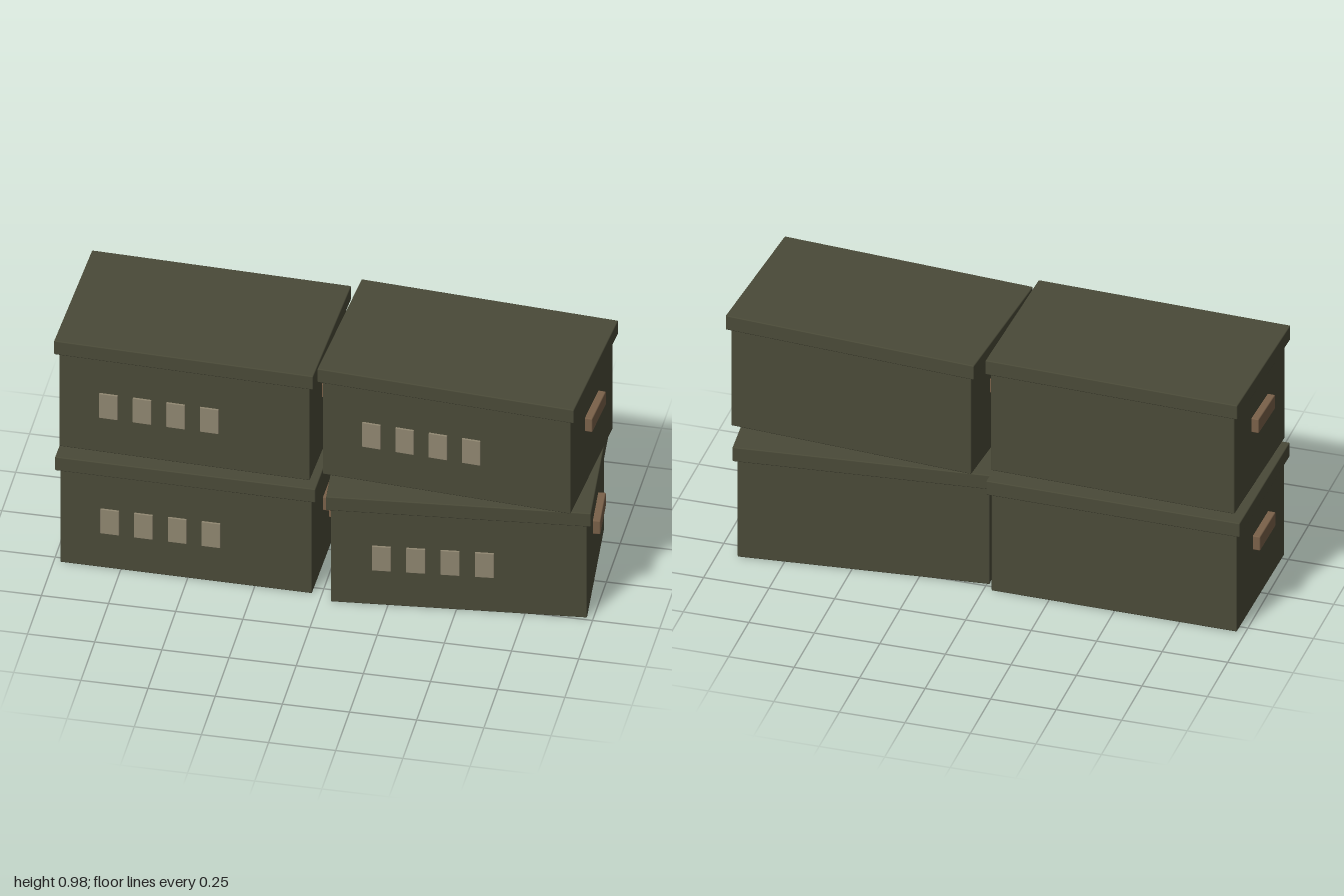
import * as THREE from 'three';
import { RoundedBoxGeometry } from 'three/addons/geometries/RoundedBoxGeometry.js';

const olive = new THREE.MeshStandardMaterial({ color: 0x4a4a38 });
olive.name = 'olive';
const wood = new THREE.MeshStandardMaterial({ color: 0x7a6149 });
wood.name = 'wood';
const paper = new THREE.MeshStandardMaterial({ color: 0x8f8670 });
paper.name = 'paper';

// Outer sizes shared by every crate
const BODY_W = 0.94, BODY_D = 0.566, BODY_H = 0.415;
const LID_W = 0.972, LID_D = 0.596, LID_H = 0.06;

function addBlock(parent, name, material, size, position, radius = 0.004) {
  const mesh = new THREE.Mesh(new RoundedBoxGeometry(...size, 1, radius), material);
  mesh.name = name;
  mesh.position.set(...position);
  parent.add(mesh);
}

function createCrate(name, x, y, turn) {
  const crate = new THREE.Group();
  crate.name = name;

  addBlock(crate, 'body', olive, [BODY_W, BODY_H, BODY_D], [0, BODY_H / 2, 0]);
  addBlock(crate, 'lid', olive, [LID_W, LID_H, LID_D], [0, BODY_H + LID_H / 2, 0]);

  // One grip bar on each end
  for (const side of [-1, 1]) {
    addBlock(crate, side > 0 ? 'leftHandle' : 'rightHandle', wood,
      [0.034, 0.06, 0.185], [side * (BODY_W / 2 + 0.011), 0.27, 0]);
  }

  // Row of four blank plates on the front, set off-centre
  for (let i = 0; i < 4; i++) {
    addBlock(crate, 'frontPlate' + (i + 1), paper,
      [0.07, 0.108, 0.009], [-0.284 + i * 0.126, 0.208, BODY_D / 2 + 0.002], 0.002);
  }

  crate.position.set(x, y, 0);
  crate.rotation.y = turn;
  return crate;
}

export function createModel() {
  const model = new THREE.Group();
  model.name = 'crateStack';
  // Two stacks of two, each crate turned slightly differently
  model.add(
    createCrate('lowerRightCrate', -0.503, 0, -0.012),
    createCrate('lowerLeftCrate', 0.483, 0, 0.093),
    createCrate('upperRightCrate', -0.503, 0.508, -0.033),
    createCrate('upperLeftCrate', 0.484, 0.508, -0.072),
  );
  return model;
}
